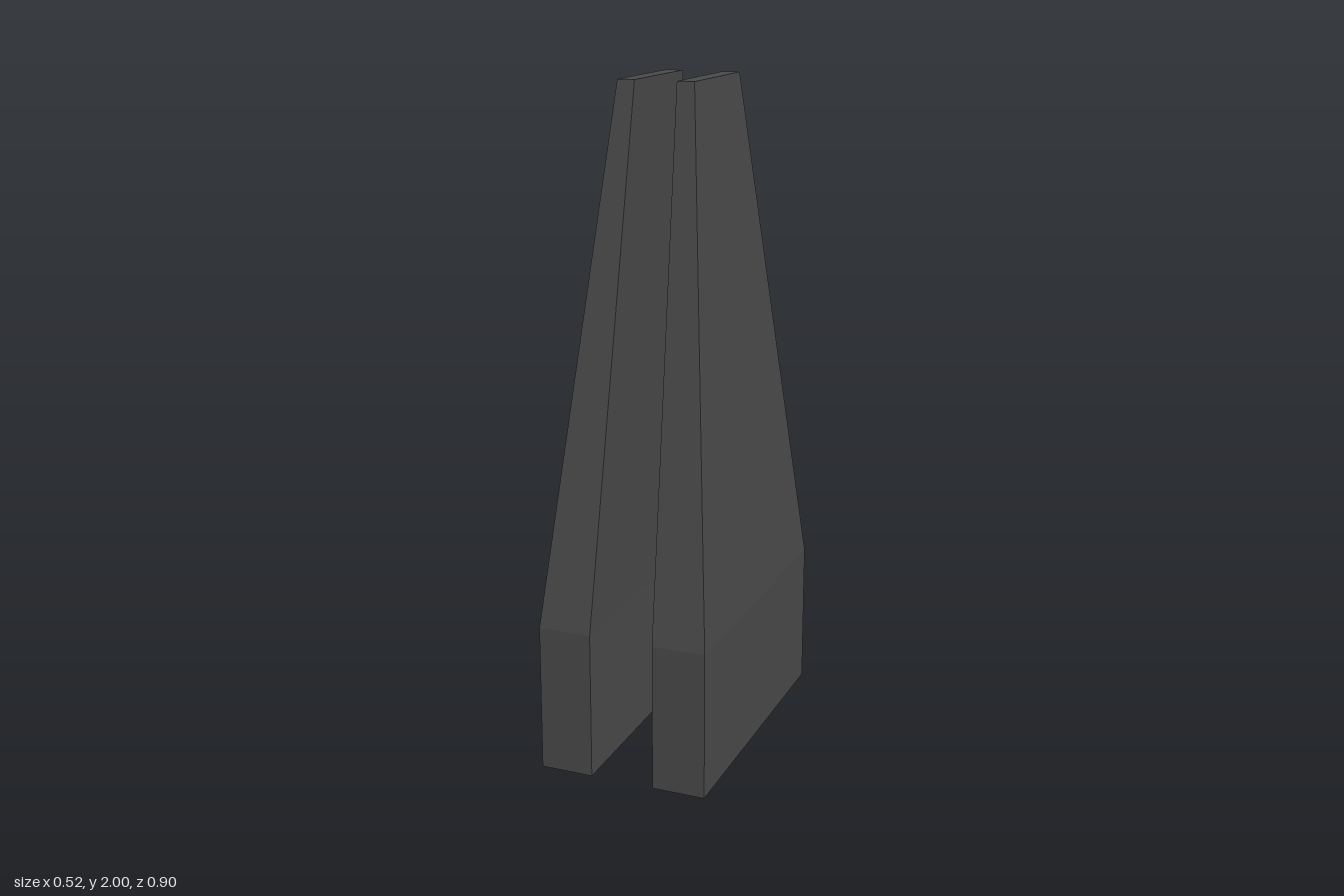
import * as THREE from 'three';

// Cross-sections from bottom to top: height, inner x, outer x, half depth
const sections = [
  { y: 0, inner: 0.097, outer: 0.258, depth: 0.452 },
  { y: 0.445, inner: 0.097, outer: 0.258, depth: 0.452 },
  { y: 2, inner: 0.063, outer: 0.115, depth: 0.178 },
];

// Slab with a straight foot and a tapered upper part; side is +1 (left) or -1 (right)
function slabGeometry(side) {
  const box = new THREE.BoxGeometry(2, 2, 2, 1, 2, 1);
  const pos = box.attributes.position;
  for (let i = 0; i < pos.count; i++) {
    const s = sections[Math.round(pos.getY(i)) + 1];
    const x = pos.getX(i) * side > 0 ? s.outer : s.inner;
    pos.setXYZ(i, side * x, s.y, Math.sign(pos.getZ(i)) * s.depth);
  }
  const geometry = box.toNonIndexed();
  geometry.computeVertexNormals();
  return geometry;
}

export function createModel() {
  const group = new THREE.Group();
  group.name = 'twinSlabs';
  const darkGrey = new THREE.MeshStandardMaterial({ color: 0x4a4a4a });
  darkGrey.name = 'dark grey';

  for (const [name, side] of [['leftSlab', 1], ['rightSlab', -1]]) {
    const slab = new THREE.Mesh(slabGeometry(side), darkGrey);
    slab.name = name;
    group.add(slab);
  }
  return group;
}
